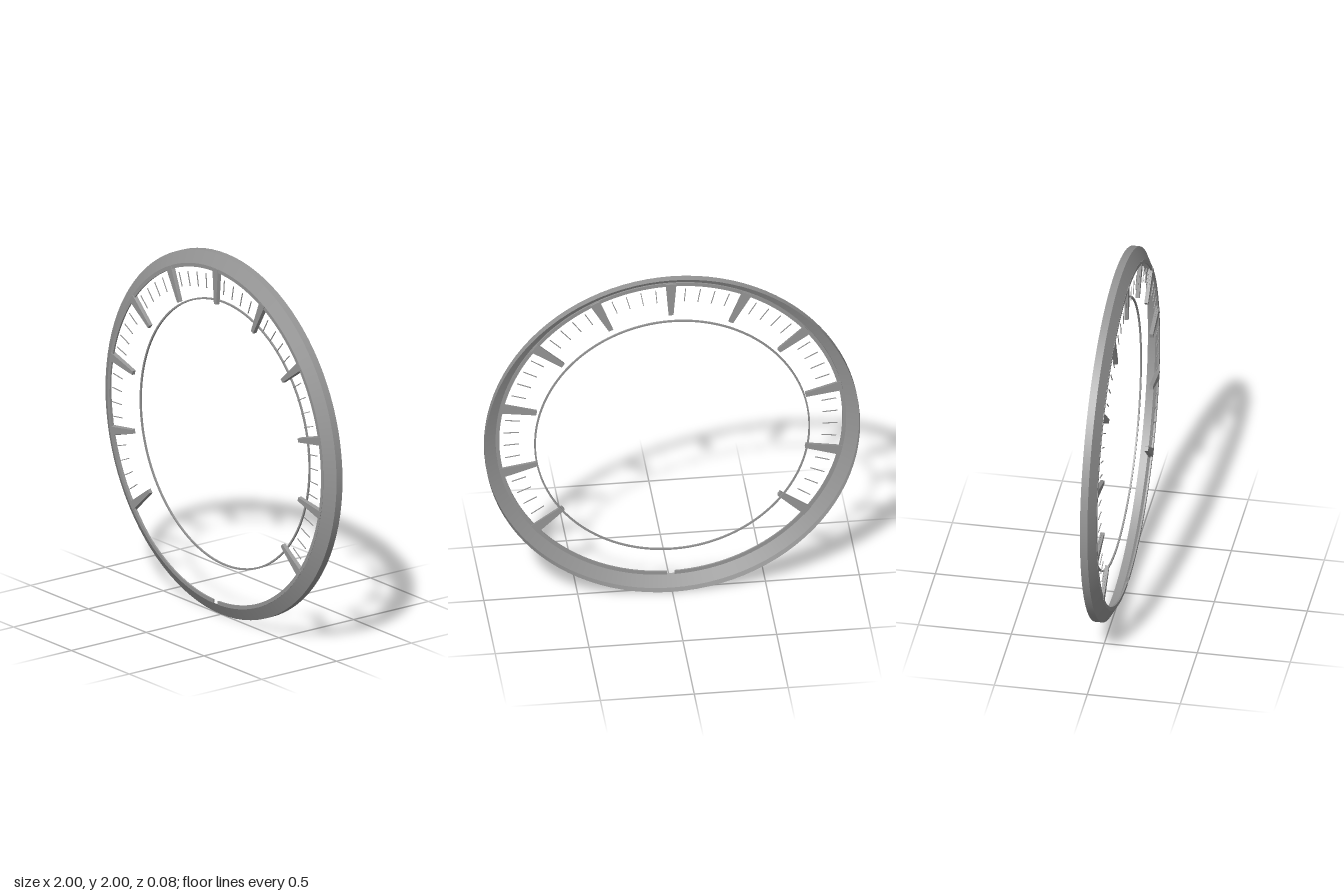
import * as THREE from 'three';

const material = new THREE.MeshStandardMaterial({ color: 0x969696, side: THREE.DoubleSide });
const SEGMENTS = 96;
const STEP = (Math.PI * 2) / 14; // angle between major markers

function addMesh(parent, name, geometry) {
  const mesh = new THREE.Mesh(geometry, material);
  mesh.name = name;
  parent.add(mesh);
  return mesh;
}

// One band of the rim, turned about the z axis from (r0, z0) to (r1, z1)
function band(r0, z0, r1, z1) {
  const points = [new THREE.Vector2(r0, z0), new THREE.Vector2(r1, z1)];
  return new THREE.LatheGeometry(points, SEGMENTS).rotateX(Math.PI / 2);
}

// Flat ring with thickness, optionally open by a small gap at the bottom
function flatRing(inner, outer, z0, z1, gap = 0) {
  const start = -Math.PI / 2 + gap;
  const end = Math.PI * 1.5 - gap;
  const shape = new THREE.Shape();
  shape.absarc(0, 0, outer, start, end, false);
  if (gap > 0) {
    shape.absarc(0, 0, inner, end, start, true);
    shape.closePath();
  } else {
    shape.holes.push(new THREE.Path().absarc(0, 0, inner, 0, Math.PI * 2, true));
  }
  const geometry = new THREE.ExtrudeGeometry(shape, {
    depth: z1 - z0, bevelEnabled: false, curveSegments: SEGMENTS,
  });
  return geometry.translate(0, 0, z0);
}

// Radial bar that tapers toward the centre, with chamfered front flanks
function taperedBar(r0, r1, w0, w1, z0, z1, frontScale) {
  const geometry = new THREE.BoxGeometry(1, 1, 1);
  const p = geometry.attributes.position;
  for (let i = 0; i < p.count; i++) {
    const outer = p.getY(i) > 0;
    const front = p.getZ(i) > 0;
    const width = (outer ? w1 : w0) * (front ? frontScale : 1);
    p.setXYZ(i, p.getX(i) * width, outer ? r1 : r0, front ? z1 : z0);
  }
  geometry.computeVertexNormals();
  return geometry;
}

export function createModel() {
  const model = new THREE.Group();
  model.name = 'dialRing';
  const dial = new THREE.Group();
  dial.name = 'dial';
  dial.position.y = 1;
  model.add(dial);

  // Hollow rim: straight outer wall, sloping bezel and notched front lip
  addMesh(dial, 'outerWall', band(1, -0.04, 1, 0));
  addMesh(dial, 'slopedBezel', band(1, 0, 0.932, 0.038));
  addMesh(dial, 'notchedLip', flatRing(0.914, 0.934, 0.029, 0.038, 0.022));

  // Slim inner ring set toward the back
  addMesh(dial, 'innerRing', flatRing(0.726, 0.735, -0.032, -0.023));

  // Major markers, with four fine ticks between each pair
  const major = taperedBar(0.735, 0.932, 0.026, 0.058, 0.02, 0.04, 0.8);
  const minor = taperedBar(0.81, 0.89, 0.004, 0.004, 0.037, 0.041, 1);
  for (let i = -25; i <= 25; i++) {
    const isMajor = i % 5 === 0;
    const mark = addMesh(dial, isMajor ? 'majorMarker' : 'minorTick', isMajor ? major : minor);
    mark.rotation.z = (-i * STEP) / 5;
  }
  return model;
}
